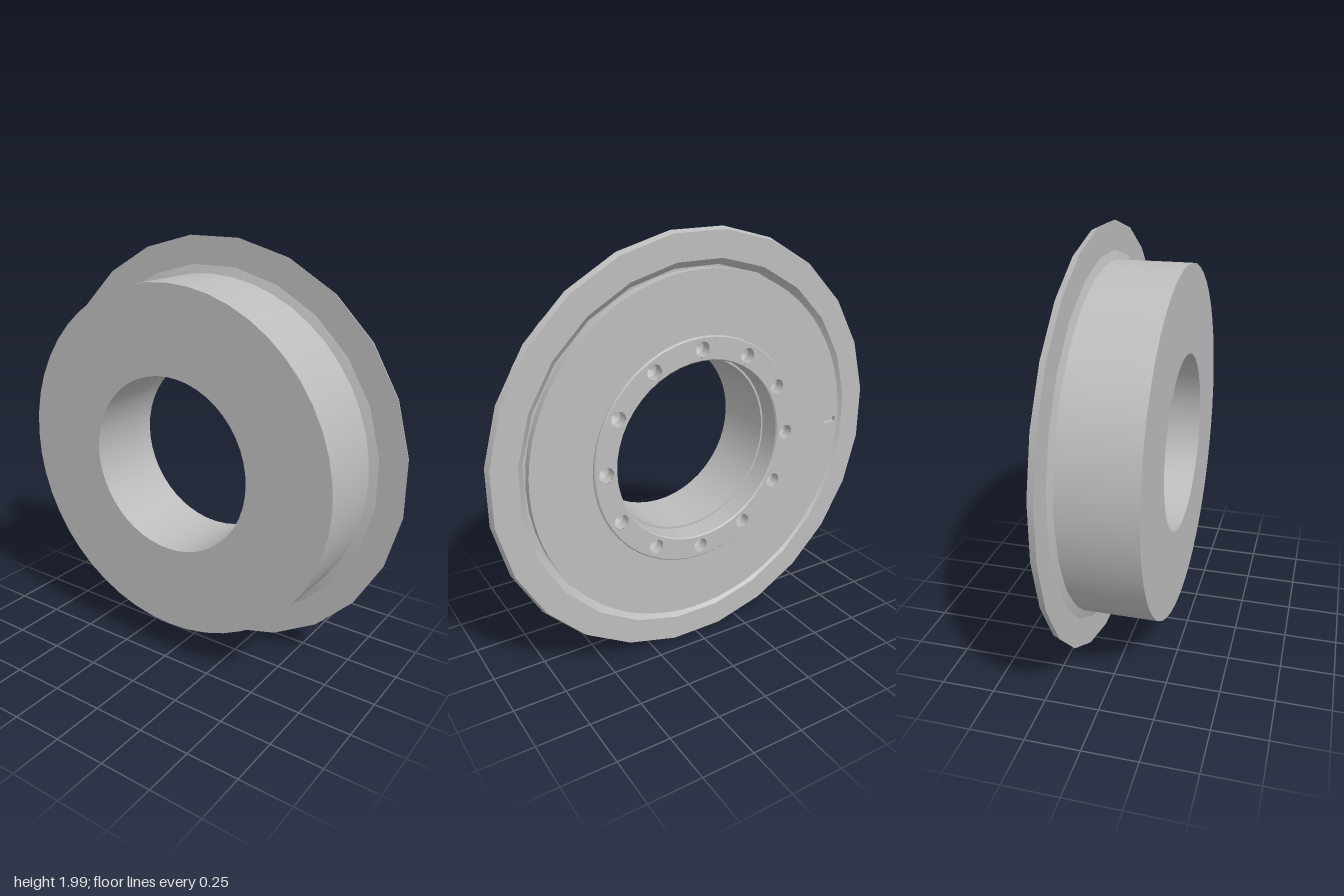
import * as THREE from 'three';
import { mergeGeometries } from 'three/addons/utils/BufferGeometryUtils.js';

const steel = new THREE.MeshStandardMaterial({ color: 0xbcbcbc });
steel.name = 'steel grey';

// Revolve [radius, x] points about the x axis, keeping every edge crisp
function revolve(points, sides, start = 0) {
  const bands = [];
  for (let i = 0; i < points.length - 1; i++) {
    const pair = [points[i], points[i + 1]].map(([r, x]) => new THREE.Vector2(r, x));
    bands.push(new THREE.LatheGeometry(pair, sides, start));
  }
  return mergeGeometries(bands).rotateZ(-Math.PI / 2);
}

function ringShape(outer, inner) {
  const shape = new THREE.Shape().absarc(0, 0, outer, 0, Math.PI * 2, false);
  shape.holes.push(new THREE.Path().absarc(0, 0, inner, 0, Math.PI * 2, true));
  return shape;
}

export function createModel() {
  const model = new THREE.Group();
  const wheel = new THREE.Group();
  wheel.name = 'wheel';
  wheel.position.y = 1;
  model.add(wheel);

  const add = (name, geometry, parent = wheel) => {
    const mesh = new THREE.Mesh(geometry, steel);
    mesh.name = name;
    parent.add(mesh);
    return mesh;
  };

  // Drum with a stepped bore
  add('drum', revolve([
    [0.436, 0.205], [0.43, 0.198], [0.43, 0.095], [0.42, 0.095],
    [0.42, -0.21], [0.83, -0.21], [0.83, 0.16],
  ], 48));

  // Dished flange with coarse sides
  add('flange', revolve([
    [0.83, 0.135], [0.872, 0.15], [1.003, 0.15], [0.992, 0.18],
    [0.872, 0.18], [0.842, 0.15], [0.82, 0.15],
  ], 24, Math.PI / 24));

  // Outer face plate with one radial slot
  const plate = ringShape(0.83, 0.5);
  const slot = new THREE.Path();
  slot.absarc(0.755, 0, 0.013, Math.PI * 1.5, Math.PI * 0.5, true);
  slot.lineTo(0.815, 0.013);
  slot.lineTo(0.815, -0.013);
  slot.closePath();
  plate.holes.push(slot);
  add('facePlate', new THREE.ExtrudeGeometry(plate, { depth: 0.03, bevelEnabled: false, curveSegments: 48 })
    .rotateY(Math.PI / 2).translate(0.16, 0, 0));
  add('slotFloor', new THREE.BoxGeometry(0.005, 0.04, 0.1)).position.set(0.168, 0, -0.78);

  // Raised bolt ring: chamfered rim and drilled face
  add('boltRingRim', revolve([[0.542, 0.188], [0.542, 0.2], [0.537, 0.205]], 48));
  const face = ringShape(0.537, 0.436);
  const holes = new THREE.Group();
  holes.name = 'boltHoles';
  wheel.add(holes);
  const drill = revolve([[0.035, 0], [0.035, -0.05], [0, -0.07]], 20);
  for (let i = 0; i < 12; i++) {
    const a = i * Math.PI / 6;
    const u = 0.485 * Math.cos(a), v = 0.485 * Math.sin(a);
    face.holes.push(new THREE.Path().absarc(u, v, 0.035, 0, Math.PI * 2, true));
    add('boltHole', drill, holes).position.set(0.205, v, -u);
  }
  // The plate stops short of the holes, so the drilled face covers its inner edge
  plate.holes[0] = new THREE.Path().absarc(0, 0, 0.53, 0, Math.PI * 2, true);
  wheel.getObjectByName('facePlate').geometry = new THREE.ExtrudeGeometry(plate, {
    depth: 0.03, bevelEnabled: false, curveSegments: 48,
  }).rotateY(Math.PI / 2).translate(0.16, 0, 0);
  add('boltRingFace', new THREE.ShapeGeometry(face, 24).rotateY(Math.PI / 2).translate(0.205, 0, 0));

  return model;
}
